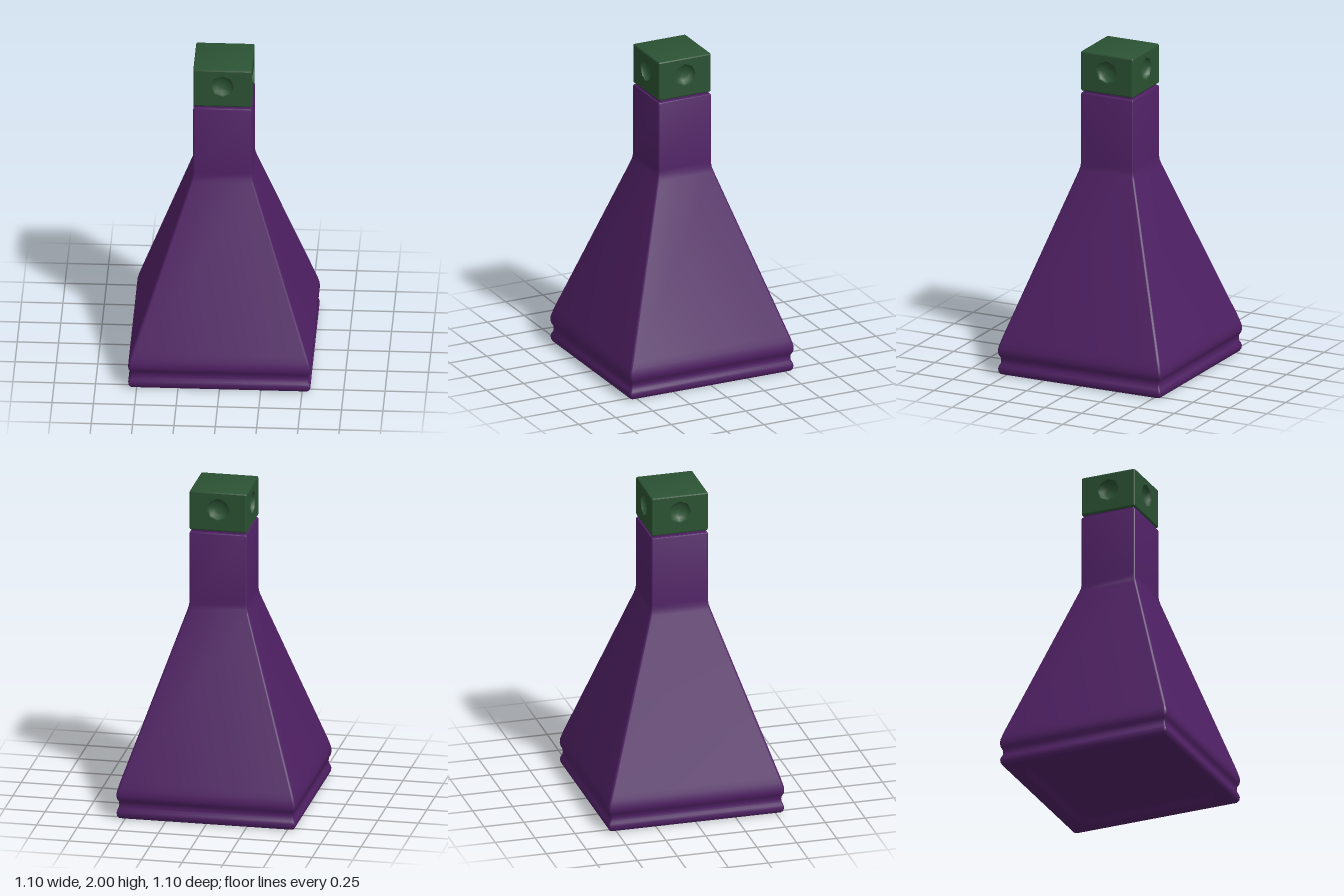
import * as THREE from 'three';
import { toCreasedNormals } from 'three/addons/utils/BufferGeometryUtils.js';

// Loft of rounded squares; each profile entry is [halfWidth, y, cornerRadius]
function squareLoft(profile, steps = 4) {
  const pos = [], idx = [], n = 4 * (steps + 1);
  for (const [h, y, r] of profile) {
    for (let c = 0; c < 4; c++) {
      const mid = Math.PI / 4 + c * Math.PI / 2;
      const cx = Math.sign(Math.cos(mid)) * (h - r), cz = Math.sign(Math.sin(mid)) * (h - r);
      for (let s = 0; s <= steps; s++) {
        const a = (c + s / steps) * Math.PI / 2;
        pos.push(cx + r * Math.cos(a), y, cz + r * Math.sin(a));
      }
    }
  }
  for (let i = 0; i < profile.length - 1; i++) {
    for (let j = 0; j < n; j++) {
      const a = i * n + j, b = i * n + (j + 1) % n;
      idx.push(a, a + n, b, b, a + n, b + n);
    }
  }
  const g = new THREE.BufferGeometry();
  g.setAttribute('position', new THREE.Float32BufferAttribute(pos, 3));
  g.setIndex(idx);
  return toCreasedNormals(g, 0.6);
}

export function createModel() {
  const model = new THREE.Group();
  const glass = new THREE.MeshStandardMaterial({ color: 0x4f2064 });
  const green = new THREE.MeshStandardMaterial({ color: 0x2b5233 });
  const add = (parent, name, geometry, material) => {
    const mesh = new THREE.Mesh(geometry, material);
    mesh.name = name;
    parent.add(mesh);
    return mesh;
  };

  // Bottle: recessed underside, grooved foot, pyramid body, square neck
  const bottle = [
    [0, 0.04, 0], [0.42, 0.04, 0.09], [0.44, 0.03, 0.1], [0.455, 0.005, 0.1], [0.465, 0, 0.1],
    [0.525, 0, 0.015], [0.54, 0.006, 0.015], [0.549, 0.02, 0.015], [0.551, 0.04, 0.015],
    [0.547, 0.055, 0.015], [0.539, 0.072, 0.015], [0.537, 0.09, 0.015], [0.539, 0.108, 0.015],
    [0.548, 0.125, 0.015], [0.552, 0.145, 0.015], [0.55, 0.17, 0.015], [0.542, 0.2, 0.015],
    [0.53, 0.238, 0.015], [0.19, 1.235, 0.012], [0.181, 1.265, 0.01], [0.177, 1.295, 0.008],
    [0.177, 1.728, 0.008], [0.174, 1.735, 0.008], [0.166, 1.738, 0.008],
    [0.166, 1.76, 0.008], [0, 1.76, 0],
  ];
  add(model, 'bottle', squareLoft(bottle), glass);

  // Cap: rounded top and bottom edges, four dimpled sides
  const cap = new THREE.Group();
  cap.name = 'cap';
  model.add(cap);
  const half = 0.177, round = 0.01, low = 1.749, high = 2, dimple = 0.07, dimpleY = 1.89;
  const k = round * 0.3;
  add(cap, 'capTop', squareLoft([
    [half, high - round, round], [half - k, high - k, round - k],
    [half - round, high, 0.001], [0, high, 0],
  ]), green);
  add(cap, 'capUnderside', squareLoft([
    [0, low, 0], [half - round, low, 0.001],
    [half - k, low + k, round - k], [half, low + round, round],
  ]), green);

  // Side panel with an octagonal opening
  const w = half - round, y0 = low + round, y1 = high - round;
  const panel = new THREE.Shape([
    new THREE.Vector2(-w, y0), new THREE.Vector2(w, y0),
    new THREE.Vector2(w, y1), new THREE.Vector2(-w, y1),
  ]);
  const opening = [];
  for (let i = 0; i < 8; i++) {
    const a = -i * Math.PI / 4;
    opening.push(new THREE.Vector2(dimple * Math.cos(a), dimpleY + dimple * Math.sin(a)));
  }
  panel.holes.push(new THREE.Path(opening));
  const panelGeo = new THREE.ShapeGeometry(panel).translate(0, 0, half);

  // Bowl set into the opening
  const bowl = [];
  for (let i = 0; i <= 4; i++) {
    const a = i / 4 * Math.PI / 2;
    bowl.push(new THREE.Vector2(dimple * Math.cos(a), -0.04 * Math.sin(a)));
  }
  const bowlGeo = new THREE.LatheGeometry(bowl, 8).rotateX(Math.PI / 2).translate(0, dimpleY, half);
  const edgeGeo = new THREE.CylinderGeometry(round, round, y1 - y0, 4, 1, true, 0, Math.PI / 2)
    .translate(w, (y0 + y1) / 2, w);

  for (let i = 0; i < 4; i++) {
    const side = new THREE.Group();
    side.name = 'capSide' + (i + 1);
    side.rotation.y = i * Math.PI / 2;
    add(side, 'panel', panelGeo, green);
    add(side, 'dimple', bowlGeo, green);
    add(side, 'cornerEdge', edgeGeo, green);
    cap.add(side);
  }
  return model;
}
